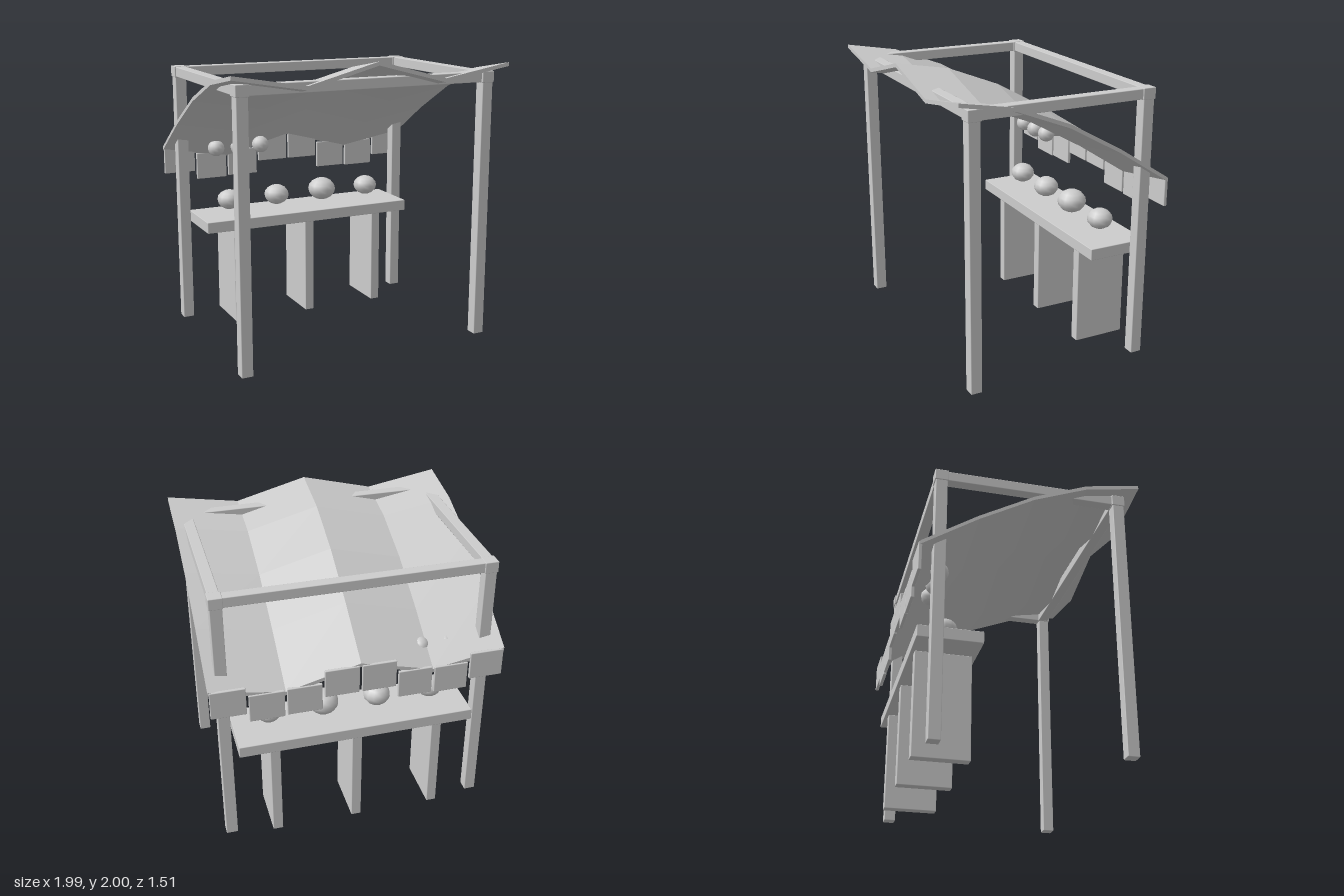
import * as THREE from 'three';
import { RoundedBoxGeometry } from 'three/addons/geometries/RoundedBoxGeometry.js';

export function createModel() {
  const model = new THREE.Group();
  model.name = 'marketStall';
  const grey = new THREE.MeshStandardMaterial({ color: 0xcccccc });
  grey.name = 'lightGrey';

  const add = (name, geometry, x, y, z) => {
    const mesh = new THREE.Mesh(geometry, grey);
    mesh.name = name;
    mesh.position.set(x, y, z);
    model.add(mesh);
    return mesh;
  };
  // Slightly bevelled timber, placed by its centre
  const block = (name, w, h, d, x, y, z) =>
    add(name, new RoundedBoxGeometry(w, h, d, 1, 0.005), x, y, z);

  // Frame: four posts with corner joints, joined by beams
  for (const x of [-0.89, 0.89]) {
    for (const z of [-0.61, 0.62]) {
      block('post', 0.08, 1.88, 0.08, x, 0.94, z);
      block('cornerJoint', 0.092, 0.078, 0.092, x, 1.852, z);
    }
    block('sideBeam', 0.075, 0.07, 1.26, x, 1.852, 0.005);
  }
  block('frontBeam', 1.86, 0.07, 0.075, 0, 1.852, 0.615);
  block('backBeam', 1.86, 0.07, 0.075, 0, 1.852, -0.61);

  // Canopy: a thin slab folded across x and curving down towards the back
  const ridge = [1.955, 1.87, 2.0, 1.87, 1.955];
  const drop = [0.667, 0.425, 0.215, 0.067, 0];
  const thickness = 0.026;
  const canopy = new THREE.BoxGeometry(1.985, thickness, 1.495, 4, 1, 4);
  const p = canopy.attributes.position;
  for (let i = 0; i < p.count; i++) {
    const column = Math.round((p.getX(i) / 1.985 + 0.5) * 4);
    const row = Math.round((p.getZ(i) / 1.495 + 0.5) * 4);
    p.setY(i, ridge[column] - drop[row] - (p.getY(i) < 0 ? thickness : 0));
  }
  const flatCanopy = canopy.toNonIndexed();
  flatCanopy.computeVertexNormals();
  add('canopy', flatCanopy, 0, 0, 0.002);

  // Valance flaps along the low edge
  const flaps = [[0.125, 1.218], [0.373, 1.126], [0.622, 1.119], [0.87, 1.183]];
  for (const side of [-1, 1])
    for (const [x, y] of flaps)
      block('valanceFlap', 0.232, 0.198, 0.024, side * x, y, -0.744);

  // Counter on three panel legs
  block('counterTop', 1.63, 0.082, 0.43, 0, 0.751, -0.505);
  for (const x of [-0.57, 0, 0.57])
    block('counterLeg', 0.07, 0.712, 0.375, x, 0.356, -0.508);

  // Round goods above the counter and under the canopy
  const ball = new THREE.SphereGeometry(1, 12, 8);
  const goods = [
    [-0.57, 0.897, 0.09, 0.073], [-0.19, 0.897, 0.093, 0.075],
    [0.19, 0.905, 0.105, 0.085], [0.57, 0.897, 0.09, 0.073],
  ];
  for (const [x, y, r, h] of goods)
    add('counterGoods', ball, x, y, -0.505).scale.set(r, h, r);
  for (const [x, y, r] of [[-0.645, 1.28, 0.062], [-0.467, 1.277, 0.064], [-0.295, 1.282, 0.064]])
    add('hangingGoods', ball, x, y, -0.557).scale.set(r, r * 0.97, r);

  return model;
}
